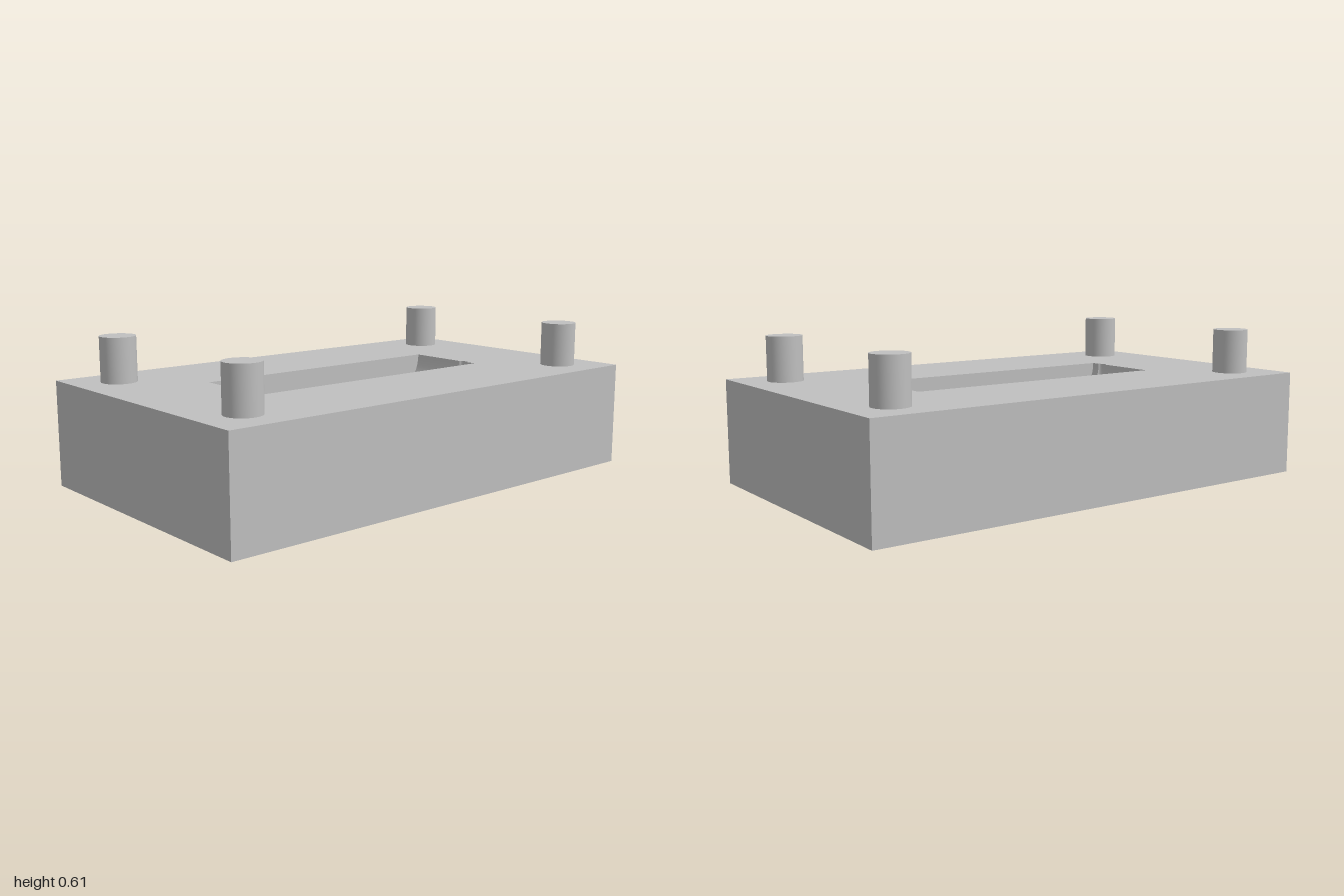
import * as THREE from 'three';

const W = 1.19, L = 2, TOP = 0.425;          // block size
const PX = 0.172, PZ = 0.567, R = 0.172;     // pocket half width, half length, end radius
const GX = 0.11, GW = 0.024, GD = 0.012;     // groove centre, half width, depth

// Stations [x, outward offset] across the groove
const groove = Array.from({ length: 13 }, (_, i) => {
  const a = Math.PI * i / 12;
  return [GX - GW * Math.cos(a), GD * Math.sin(a)];
});

// Pocket section [z, y]: quarter-round ends joined by a flat floor
function section(offset, steps = 24) {
  const r = R + offset, c = PZ - R, pts = [];
  for (let i = 0; i <= steps; i++) {
    const a = Math.PI / 2 * i / steps;
    pts.push([-c - r * Math.cos(a), TOP - r * Math.sin(a)]);
  }
  return pts.concat(pts.map(([z, y]) => [-z, y]).reverse());
}

// Sweep the section along x through the given stations
function sweep(stations) {
  const pos = [], index = [];
  stations.forEach(([x, d]) => section(d).forEach(([z, y]) => pos.push(x, y, z)));
  const n = pos.length / 3 / stations.length;
  for (let j = 0; j < stations.length - 1; j++) {
    for (let i = 0; i < n - 1; i++) {
      const a = j * n + i, b = a + 1, c = a + n, d = c + 1;
      index.push(a, b, c, b, d, c);
    }
  }
  const g = new THREE.BufferGeometry();
  g.setAttribute('position', new THREE.Float32BufferAttribute(pos, 3));
  g.setIndex(index);
  g.computeVertexNormals();
  return g;
}

export function createModel() {
  const model = new THREE.Group();
  const grey = new THREE.MeshStandardMaterial({ color: 0xbfbfbf });
  grey.name = 'grey';
  const add = (name, geometry, x = 0, y = 0, z = 0) => {
    const mesh = new THREE.Mesh(geometry, grey);
    mesh.name = name;
    mesh.position.set(x, y, z);
    model.add(mesh);
  };

  // Block sides and base, with the top face left out
  const box = new THREE.BoxGeometry(W, TOP, L);
  const faces = Array.from(box.index.array);
  faces.splice(12, 6);
  box.setIndex(faces);
  box.clearGroups();
  add('blockSides', box, 0, TOP / 2);

  // Top face with the pocket opening
  const v = (x, y) => new THREE.Vector2(x, y);
  const top = new THREE.Shape([v(-W / 2, -L / 2), v(W / 2, -L / 2), v(W / 2, L / 2), v(-W / 2, L / 2)]);
  const edge = [[-PX, 0], ...groove, [PX, 0]].map(([x, d]) => v(x, PZ + d));
  top.holes.push(new THREE.Path([...edge, ...edge.map(p => v(p.x, -p.y)).reverse()]));
  add('blockTop', new THREE.ShapeGeometry(top).rotateX(-Math.PI / 2), 0, TOP);

  // Pocket floor on both sides of the groove, and the groove itself
  add('pocketFloor', sweep([[-PX, 0], [GX - GW, 0]]));
  add('pocketGroove', sweep(groove));
  add('pocketFloor', sweep([[GX + GW, 0], [PX, 0]]));

  // Flat pocket side walls
  const wall = new THREE.Shape(section(0).map(([z, y]) => v(z, y)));
  for (const s of [-1, 1]) {
    add('pocketWall', new THREE.ShapeGeometry(wall).rotateY(-s * Math.PI / 2), s * PX);
  }

  // Corner pins
  const pinHeight = 0.18;
  const pin = new THREE.CylinderGeometry(0.071, 0.071, pinHeight, 48);
  for (const x of [-0.418, 0.418]) {
    for (const z of [-0.823, 0.82]) add('pin', pin, x, TOP + pinHeight / 2, z);
  }
  return model;
}
